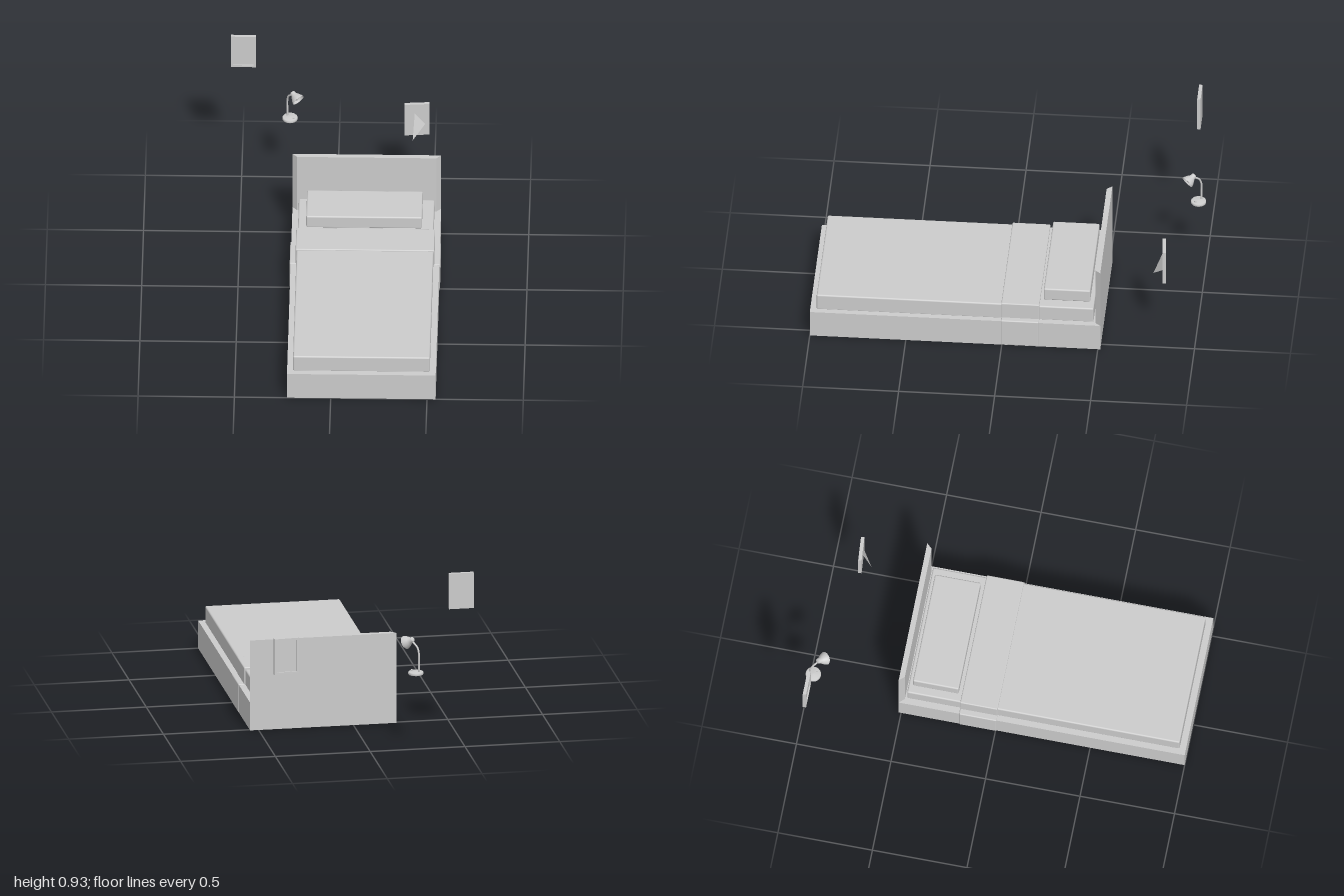
import * as THREE from 'three';
import { RoundedBoxGeometry } from 'three/addons/geometries/RoundedBoxGeometry.js';

const grey = new THREE.MeshStandardMaterial({ color: 0xcccccc });
const thin = new THREE.MeshStandardMaterial({ color: 0xcccccc, side: THREE.DoubleSide });
const V = (x, y, z) => new THREE.Vector3(x, y, z);

function add(parent, name, geometry, material = grey) {
  const mesh = new THREE.Mesh(geometry, material);
  mesh.name = name;
  parent.add(mesh);
  return mesh;
}

// Box given by its limits, with optional rounded edges
function box(parent, name, [x0, x1], [y0, y1], [z0, z1], r = 0) {
  const size = [x1 - x0, y1 - y0, z1 - z0];
  const geo = r ? new RoundedBoxGeometry(...size, 3, r) : new THREE.BoxGeometry(...size);
  const mesh = add(parent, name, geo);
  mesh.position.set((x0 + x1) / 2, (y0 + y1) / 2, (z0 + z1) / 2);
  return mesh;
}

// Frame with a recessed panel, centred, facing +z
function pictureFrame(name, w, h, d, border) {
  const g = new THREE.Group();
  g.name = name;
  const rect = (target, a, b) => {
    target.moveTo(-a, -b);
    target.lineTo(a, -b);
    target.lineTo(a, b);
    target.lineTo(-a, b);
    target.closePath();
    return target;
  };
  const shape = rect(new THREE.Shape(), w / 2, h / 2);
  shape.holes.push(rect(new THREE.Path(), w / 2 - border, h / 2 - border));
  const rim = new THREE.ExtrudeGeometry(shape, { depth: d, bevelEnabled: false });
  add(g, 'frameRim', rim.translate(0, 0, -d / 2));
  box(g, 'framePanel', [border - w / 2, w / 2 - border], [border - h / 2, h / 2 - border], [-d / 2, d * 0.1]);
  return g;
}

function createBed() {
  const bed = new THREE.Group();
  bed.name = 'bed';
  box(bed, 'bedBase', [-0.227, 0.545], [0, 0.15], [-0.513, 1]);
  box(bed, 'mattress', [-0.193, 0.511], [0.145, 0.233], [-0.475, 0.96], 0.008);
  box(bed, 'blanket', [-0.196, 0.514], [0.145, 0.238], [-0.1, 0.967], 0.008);
  box(bed, 'pillow', [-0.15, 0.451], [0.231, 0.302], [-0.453, -0.211], 0.008);

  // Folded band wrapping the mattress and the base
  box(bed, 'foldedBandUpper', [-0.201, 0.519], [0.14, 0.245], [-0.193, 0.005], 0.006);
  box(bed, 'foldedBandLower', [-0.232, 0.549], [0.001, 0.156], [-0.193, 0.005], 0.006);

  // Headboard with slanted front corners
  const plan = new THREE.Shape([
    [-0.202, 0.485], [0.52, 0.485], [0.545, 0.513], [-0.227, 0.513],
  ].map(([x, y]) => new THREE.Vector2(x, y)));
  const board = new THREE.ExtrudeGeometry(plan, { depth: 0.337, bevelEnabled: false });
  add(bed, 'headboard', board.rotateX(-Math.PI / 2).translate(0, 0.15, 0));
  return bed;
}

function createLamp() {
  const lamp = new THREE.Group();
  lamp.name = 'deskLamp';
  const foot = [[0, 0], [0.038, 0], [0.04, 0.003], [0.04, 0.011], [0.037, 0.015], [0, 0.018]];
  const base = add(lamp, 'lampBase', new THREE.LatheGeometry(foot.map(p => new THREE.Vector2(...p)), 32));
  base.position.set(-0.248, 0.394, -0.96);
  const button = add(lamp, 'lampSwitch', new THREE.CylinderGeometry(0.006, 0.006, 0.008, 16));
  button.position.set(-0.23, 0.412, -0.945);

  // Bent stem
  const path = new THREE.CatmullRomCurve3([
    V(-0.262, 0.405, -0.974), V(-0.262, 0.45, -0.974), V(-0.262, 0.505, -0.974),
    V(-0.256, 0.538, -0.963), V(-0.234, 0.565, -0.937),
  ]);
  add(lamp, 'lampStem', new THREE.TubeGeometry(path, 32, 0.005, 10));

  // Bell shade with its bulb, modelled along y and tilted into place
  const head = new THREE.Group();
  head.name = 'lampHead';
  const bell = [[0, 0], [0.011, 0.001], [0.014, 0.005], [0.015, 0.018], [0.022, 0.028], [0.031, 0.045],
    [0.035, 0.056], [0.033, 0.056], [0.028, 0.044], [0.019, 0.03], [0, 0.025]];
  add(head, 'lampShade', new THREE.LatheGeometry(bell.map(p => new THREE.Vector2(...p)), 32), thin);
  const bulb = add(head, 'lampBulb', new THREE.SphereGeometry(0.014, 20, 14));
  bulb.position.y = 0.039;
  head.position.set(-0.238, 0.578, -0.941);
  head.quaternion.setFromUnitVectors(V(0, 1, 0), V(0.033, -0.025, 0.035).normalize());
  lamp.add(head);
  return lamp;
}

function createPhotoStand() {
  const stand = new THREE.Group();
  stand.name = 'photoStand';
  const frame = pictureFrame('photoFrame', 0.13, 0.193, 0.018, 0.012);
  frame.position.set(0.413, 0.4915, -0.836);
  frame.rotation.y = Math.PI + 0.08;
  stand.add(frame);

  // Triangular prop leg behind the photo
  const leg = new THREE.BufferGeometry().setFromPoints([
    V(0.402, 0.532, -0.826), V(0.392, 0.395, -0.777), V(0.456, 0.463, -0.83),
  ]);
  leg.computeVertexNormals();
  add(stand, 'propLeg', leg, thin);
  return stand;
}

export function createModel() {
  const model = new THREE.Group();
  model.name = 'bedroomSet';
  const wallPicture = pictureFrame('wallPicture', 0.13, 0.192, 0.018, 0.012);
  wallPicture.position.set(-0.49, 0.831, -0.947);
  model.add(createBed(), createLamp(), createPhotoStand(), wallPicture);
  return model;
}
